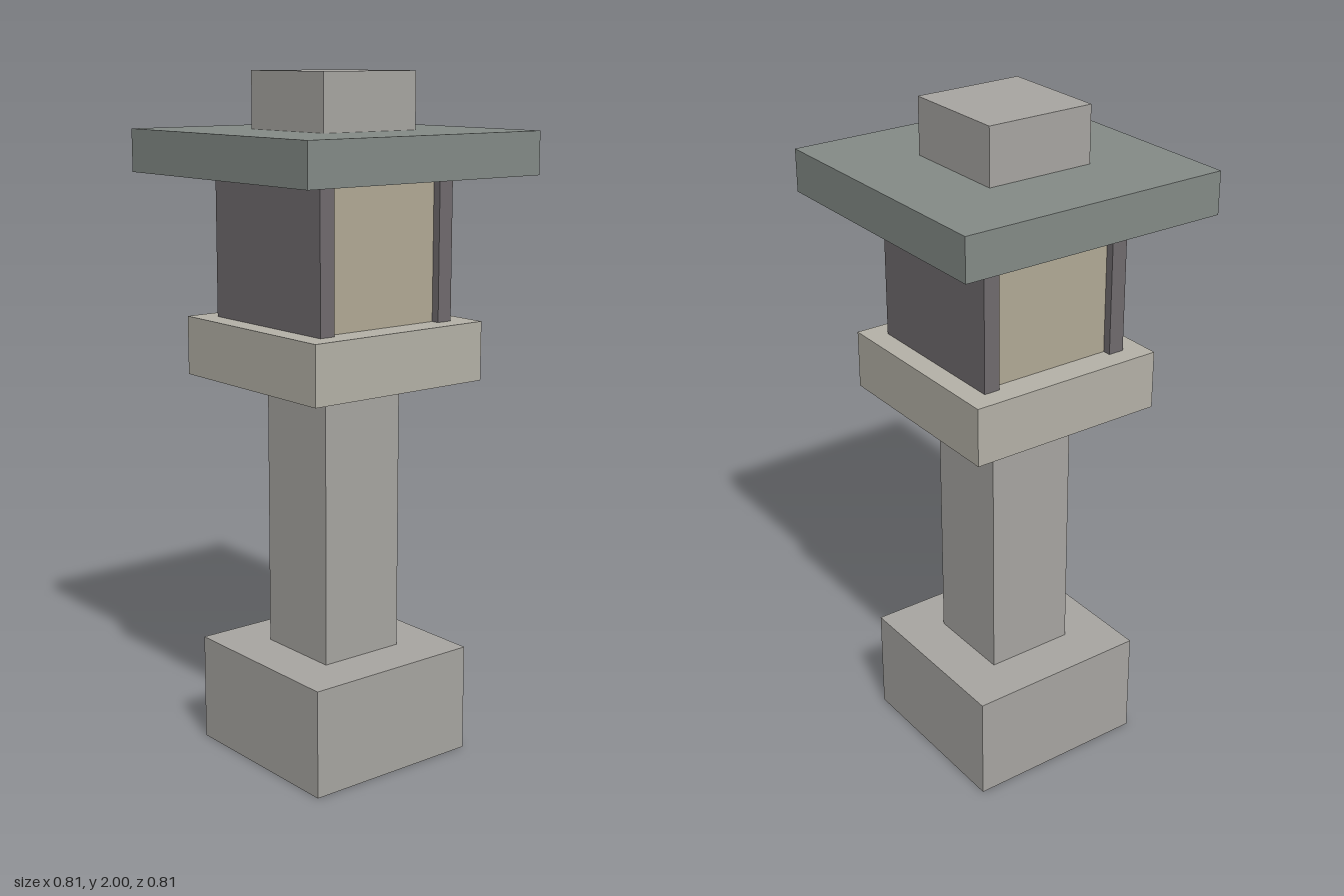
import * as THREE from 'three';

export function createModel() {
  const group = new THREE.Group();
  const material = (color) => new THREE.MeshStandardMaterial({ color });
  const stone = material(0xa8a6a2);
  const paleStone = material(0xb5b2a8);
  const slate = material(0x848b87);
  const screen = material(0x706b6e);
  const glow = material(0xb2aa96);

  // Box spanning y0..y1, with half sizes in x and z
  function block(name, mat, halfX, halfZ, y0, y1, x = 0) {
    const mesh = new THREE.Mesh(new THREE.BoxGeometry(halfX * 2, y1 - y0, halfZ * 2), mat);
    mesh.name = name;
    mesh.position.set(x, (y0 + y1) / 2, 0);
    group.add(mesh);
  }

  // Pedestal
  block('base', stone, 0.278, 0.278, 0, 0.32);
  block('shaft', stone, 0.135, 0.135, 0.32, 1.122);
  block('platform', paleStone, 0.3, 0.3, 1.132, 1.303);

  // Lamp chamber with a dark screen on each side
  block('lampChamber', glow, 0.215, 0.215, 1.303, 1.712);
  for (const side of [1, -1]) {
    block(side > 0 ? 'leftScreen' : 'rightScreen', screen, 0.024, 0.24, 1.303, 1.7, side * 0.212);
  }

  // Roof and cap
  block('roof', slate, 0.407, 0.407, 1.716, 1.838);
  block('cap', stone, 0.163, 0.163, 1.838, 2);

  return group;
}
